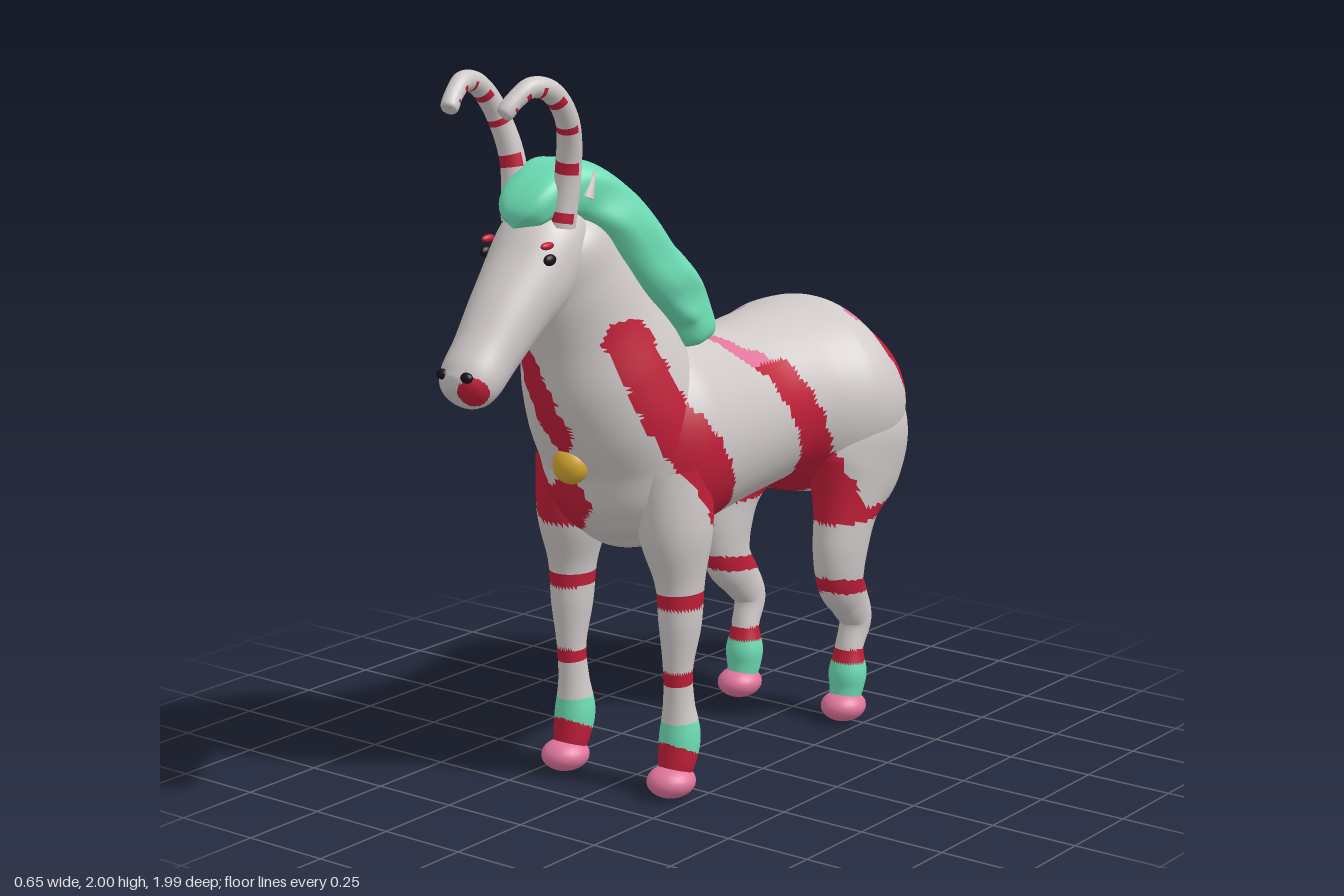
import * as THREE from 'three';

const makeMat = (name, color) => {
  const m = new THREE.MeshStandardMaterial({ color });
  m.name = name;
  return m;
};

// Elliptical loft through sections [x, y, z, halfWidth, halfDepth].
// paint(point, t, angle) picks the material index of each triangle.
function loft(name, sections, mats, { steps = 10, sides = 48, paint = () => 0, bump = 0, power = 1 } = {}) {
  const path = new THREE.CatmullRomCurve3(sections.map(s => new THREE.Vector3(s[0], s[1], s[2])), false, 'catmullrom');
  const size = new THREE.CatmullRomCurve3(sections.map(s => new THREE.Vector3(s[3], s[4], 0)), false, 'catmullrom');
  const rows = (sections.length - 1) * steps;
  const pos = [], buckets = mats.map(() => []);
  const soft = v => Math.sign(v) * Math.abs(v) ** power;
  for (let i = 0; i <= rows; i++) {
    const t = i / rows, c = path.getPoint(t), r = size.getPoint(t), T = path.getTangent(t);
    const A = new THREE.Vector3(1, 0, 0).addScaledVector(T, -T.x).normalize();
    const B = T.clone().cross(A);
    for (let j = 0; j < sides; j++) {
      const a = j / sides * Math.PI * 2;
      const k = 1 + bump * (Math.sin(t * 38 + Math.sin(a * 3) * 2) + 0.6 * Math.sin(a * 7 + t * 17));
      const p = c.clone()
        .addScaledVector(A, soft(Math.cos(a)) * Math.max(0, r.x) * k)
        .addScaledVector(B, soft(Math.sin(a)) * Math.max(0, r.y) * k);
      pos.push(p.x, p.y, p.z);
    }
  }
  const at = k => new THREE.Vector3().fromArray(pos, k * 3);
  for (let i = 0; i < rows; i++) for (let j = 0; j < sides; j++) {
    const n = (j + 1) % sides;
    const a = i * sides + j, b = i * sides + n, c = b + sides, d = a + sides;
    for (const tri of [[a, b, d], [b, c, d]]) {
      const mid = at(tri[0]).add(at(tri[1])).add(at(tri[2])).divideScalar(3);
      buckets[paint(mid, (i + 0.5) / rows, (j + 0.5) / sides * Math.PI * 2)].push(...tri);
    }
  }
  const g = new THREE.BufferGeometry();
  g.setAttribute('position', new THREE.Float32BufferAttribute(pos, 3));
  g.setIndex(buckets.flat());
  let start = 0;
  buckets.forEach((b, k) => {
    if (b.length) g.addGroup(start, b.length, k);
    start += b.length;
  });
  g.computeVertexNormals();
  const mesh = new THREE.Mesh(g, mats);
  mesh.name = name;
  return mesh;
}

// Is (u, v) within w of a polyline?
function near(u, v, pts, w) {
  for (let i = 0; i < pts.length - 1; i++) {
    const [ax, ay] = pts[i], dx = pts[i + 1][0] - ax, dy = pts[i + 1][1] - ay;
    const k = THREE.MathUtils.clamp(((u - ax) * dx + (v - ay) * dy) / (dx * dx + dy * dy), 0, 1);
    if (Math.hypot(u - ax - k * dx, v - ay - k * dy) < w) return true;
  }
  return false;
}

// Flank stripes as [z, y] lines, half width, least distance from the middle
const leftStripes = [
  [[[0.49, 1.3], [0.41, 1.1], [0.265, 0.9], [0.09, 0.66]], 0.07, 0],
  [[[-0.03, 1.22], [-0.12, 1.13], [-0.255, 0.89], [-0.385, 0.66]], 0.053, 0],
  [[[-0.6, 1.19], [-0.65, 1.1], [-0.72, 0.96]], 0.07, 0.1],
];
const rightStripes = [
  [[[0.14, 1.2], [0.2, 1.12], [0.3, 0.98]], 0.06, 0],
  [[[-0.34, 1.18], [-0.25, 1.08], [-0.1, 0.88], [0.08, 0.66]], 0.058, 0],
  [[[-0.76, 1.03], [-0.68, 0.9], [-0.5, 0.72]], 0.058, 0],
];
// Back stripes as [x, z] lines, half width, colour index
const backStripes = [
  [[[-0.27, 0.24], [-0.16, 0.13], [0, 0.09]], 0.042, 1],
  [[[-0.05, 0.06], [0.08, 0.03], [0.15, -0.04], [0.2, -0.12]], 0.034, 2],
  [[[-0.22, -0.33], [-0.2, -0.34]], 0.04, 1],
  [[[-0.2, -0.38], [-0.15, -0.4]], 0.036, 2],
  [[[0.21, -0.73], [0.24, -0.64]], 0.05, 1],
  [[[0.16, -0.57], [0.2, -0.62]], 0.045, 2],
  [[[-0.2, -0.72], [-0.08, -0.775]], 0.03, 1],
];
// Front stripes as [x, y] lines, half width, least z, colour index
const chestStripes = [
  [[[-0.15, 1.48], [-0.16, 1.42]], 0.03, 0.42, 2],
  [[[-0.13, 1.33], [-0.04, 1.16], [0.0, 1.03]], 0.045, 0.42, 1],
  [[[-0.28, 1.05], [-0.25, 0.89], [-0.17, 0.79], [-0.09, 0.79], [-0.04, 0.83]], 0.068, 0.25, 1],
];
function coat(p) {
  const wob = 0.005 * Math.sin(p.y * 60 + p.z * 45);
  if (p.y > 1.13 && p.z < 0.2) {
    const hit = backStripes.find(([l, w]) => near(p.x, p.z, l, w + wob));
    return hit ? hit[2] : 0;
  }
  const front = chestStripes.find(([l, w, z]) => p.z > z && p.x < 0.05 && near(p.x, p.y, l, w + wob));
  if (front) return front[3];
  if (p.y > 1.34) return 0;
  const set = p.x > 0 ? leftStripes : rightStripes;
  return set.some(([l, w, x]) => Math.abs(p.x) > x && near(p.z, p.y, l, w + wob)) ? 1 : 0;
}

export function createModel() {
  const model = new THREE.Group();
  const grey = makeMat('pale grey coat', 0xcfc9c8), red = makeMat('red stripe', 0xc01e38);
  const pink = makeMat('pink', 0xe0759c), teal = makeMat('teal hair', 0x6cdcb4);
  const gold = makeMat('gold', 0xd2a630), black = makeMat('black', 0x1a1016);
  const coatMats = [grey, red, pink, teal];

  const ball = (name, mat, x, y, z, rx, ry, rz) => {
    const m = new THREE.Mesh(new THREE.SphereGeometry(1, 24, 16), mat);
    m.name = name;
    m.position.set(x, y, z);
    m.scale.set(rx, ry, rz);
    model.add(m);
  };

  // Torso: [z, top, bottom, half width]
  const torso = [
    [-0.775, 1.0, 1.0, 0], [-0.77, 1.06, 0.94, 0.07], [-0.74, 1.11, 0.85, 0.17], [-0.67, 1.18, 0.75, 0.265],
    [-0.56, 1.228, 0.67, 0.322], [-0.45, 1.238, 0.68, 0.318], [-0.3, 1.22, 0.73, 0.262], [-0.15, 1.205, 0.72, 0.245],
    [0, 1.22, 0.7, 0.252], [0.12, 1.245, 0.685, 0.275], [0.25, 1.27, 0.67, 0.286], [0.34, 1.27, 0.685, 0.255],
    [0.41, 1.22, 0.74, 0.2], [0.455, 1.14, 0.83, 0.13], [0.475, 1.05, 0.92, 0.055], [0.48, 0.985, 0.985, 0],
  ].map(([z, t, b, w]) => [0, (t + b) / 2, z, w, (t - b) / 2]);
  model.add(loft('torso', torso, coatMats, { sides: 112, paint: coat }));

  // Chest and neck
  model.add(loft('neck', [
    [0, 0.71, 0.27, 0, 0], [0, 0.73, 0.27, 0.16, 0.14], [0, 0.83, 0.277, 0.225, 0.203], [0, 0.96, 0.3, 0.242, 0.215],
    [0, 1.08, 0.345, 0.236, 0.232], [0, 1.2, 0.4, 0.208, 0.23], [0, 1.33, 0.46, 0.168, 0.2],
    [0, 1.46, 0.53, 0.145, 0.17], [0, 1.57, 0.59, 0.12, 0.13], [0, 1.65, 0.63, 0, 0],
  ], coatMats, { steps: 12, sides: 80, paint: coat }));

  // Head with one red patch on the muzzle
  const patch = new THREE.Vector3(0.05, 1.215, 0.97);
  model.add(loft('head', [
    [0, 1.64, 0.55, 0, 0], [0, 1.61, 0.575, 0.09, 0.08], [0, 1.555, 0.625, 0.12, 0.112], [0, 1.47, 0.69, 0.122, 0.115],
    [0, 1.39, 0.775, 0.105, 0.1], [0, 1.3, 0.86, 0.09, 0.085], [0, 1.24, 0.92, 0.085, 0.077],
    [0, 1.213, 0.953, 0.07, 0.062], [0, 1.2, 0.97, 0.042, 0.036], [0, 1.197, 0.974, 0, 0],
  ], coatMats, { paint: p => (p.distanceTo(patch) < 0.042 ? 1 : 0) }));

  // Mane and forelock
  model.add(loft('mane', [
    [0, 1.235, 0.185, 0, 0], [0, 1.24, 0.185, 0.185, 0.066], [0, 1.32, 0.205, 0.198, 0.085], [0, 1.395, 0.265, 0.195, 0.096],
    [0, 1.48, 0.35, 0.186, 0.095], [0, 1.61, 0.46, 0.16, 0.09], [0, 1.675, 0.55, 0.12, 0.085], [0, 1.675, 0.64, 0.095, 0.065],
    [0, 1.63, 0.72, 0.065, 0.04], [0, 1.6, 0.75, 0, 0],
  ], [teal], { steps: 9, sides: 64, bump: 0.014, power: 0.66 }));

  // Tail
  model.add(loft('tail', [
    [0, 1.12, -0.73, 0, 0], [0, 1.07, -0.745, 0.095, 0.05], [0, 0.95, -0.785, 0.09, 0.08], [0.005, 0.82, -0.83, 0.075, 0.094],
    [0.015, 0.7, -0.885, 0.062, 0.095], [0.02, 0.62, -0.925, 0.05, 0.075], [0.02, 0.565, -0.95, 0, 0],
  ], [teal], { sides: 40, bump: 0.035 }));

  // Leg bands; socks below, coat stripes above
  const band = (y, c, w) => Math.abs(y - c) < w;
  const frontPaint = p => {
    if (p.y > 0.68) return coat(p);
    if (p.y < 0.21) return p.y < 0.135 + (p.z - 0.31) * 0.5 ? 1 : 3;
    return band(p.y, 0.555, 0.02) || band(p.y, 0.335, 0.018) ? 1 : 0;
  };
  const hindPaint = p => {
    if (p.y > 0.665) return coat(p);
    if (p.y < 0.18) return 3;
    return band(p.y, 0.645, 0.02) || band(p.y, 0.43 + (p.z + 0.44) * 0.15, 0.022) || p.y < 0.22 ? 1 : 0;
  };

  for (const s of [1, -1]) {
    const side = s > 0 ? 'left' : 'right';
    const mir = list => list.map(([x, ...rest]) => [x * s, ...rest]);
    model.add(loft(side + 'FrontLeg', mir([
      [0.165, 0.92, 0.305, 0.1, 0.12], [0.176, 0.74, 0.3, 0.093, 0.112], [0.185, 0.6, 0.295, 0.064, 0.075],
      [0.187, 0.48, 0.297, 0.055, 0.063], [0.185, 0.36, 0.304, 0.04, 0.043], [0.183, 0.26, 0.298, 0.042, 0.045],
      [0.183, 0.17, 0.293, 0.056, 0.057], [0.184, 0.1, 0.308, 0.053, 0.05], [0.185, 0.05, 0.325, 0.04, 0.04],
    ]), coatMats, { sides: 40, paint: frontPaint }));
    model.add(loft(side + 'HindLeg', mir([
      [0.165, 1.02, -0.55, 0.1, 0.14], [0.182, 0.88, -0.535, 0.138, 0.185], [0.196, 0.76, -0.505, 0.115, 0.185],
      [0.205, 0.64, -0.458, 0.083, 0.112], [0.206, 0.53, -0.435, 0.07, 0.095], [0.202, 0.44, -0.445, 0.06, 0.082],
      [0.195, 0.37, -0.497, 0.05, 0.067], [0.19, 0.3, -0.54, 0.044, 0.053], [0.187, 0.22, -0.515, 0.042, 0.04],
      [0.186, 0.15, -0.51, 0.055, 0.055], [0.185, 0.1, -0.505, 0.05, 0.05], [0.185, 0.05, -0.49, 0.04, 0.04],
    ]), coatMats, { sides: 40, paint: hindPaint }));
    ball(side + 'FrontHoof', pink, 0.185 * s, 0.048, 0.335, 0.066, 0.045, 0.07);
    ball(side + 'HindHoof', pink, 0.187 * s, 0.048, -0.488, 0.064, 0.045, 0.07);

    // Hooked horns with bands on the inner curve
    model.add(loft(side + 'Horn', mir([
      [0.078, 1.6, 0.65, 0.036, 0.036], [0.092, 1.75, 0.638, 0.034, 0.034], [0.115, 1.87, 0.667, 0.031, 0.031],
      [0.12, 1.95, 0.73, 0.029, 0.029], [0.112, 1.972, 0.8, 0.027, 0.027], [0.1, 1.945, 0.852, 0.024, 0.024],
      [0.09, 1.912, 0.883, 0.022, 0.022], [0.089, 1.909, 0.886, 0, 0],
    ]), coatMats, {
      steps: 12, sides: 20,
      paint: (p, t, a) => ((t * 8 + 0.92) % 1 < 0.24 && t < 0.8 && Math.sin(a) < 0.1 ? 1 : 0),
    }));

    // Face details
    ball(side + 'Eye', black, 0.106 * s, 1.528, 0.732, 0.012, 0.015, 0.021);
    ball(side + 'Brow', red, 0.098 * s, 1.563, 0.732, 0.01, 0.01, 0.024);
    ball(side + 'Nostril', black, 0.04 * s, 1.258, 0.982, 0.018, 0.014, 0.013);
    const ear = new THREE.Mesh(new THREE.ConeGeometry(0.02, 0.08, 16), grey);
    ear.name = side + 'Ear';
    ear.position.set(0.108 * s, 1.705, 0.565);
    ear.rotation.set(-0.4, 0, -0.1 * s);
    model.add(ear);
  }

  // Chest bell
  ball('bell', gold, 0, 0.94, 0.526, 0.052, 0.052, 0.045);
  return model;
}
